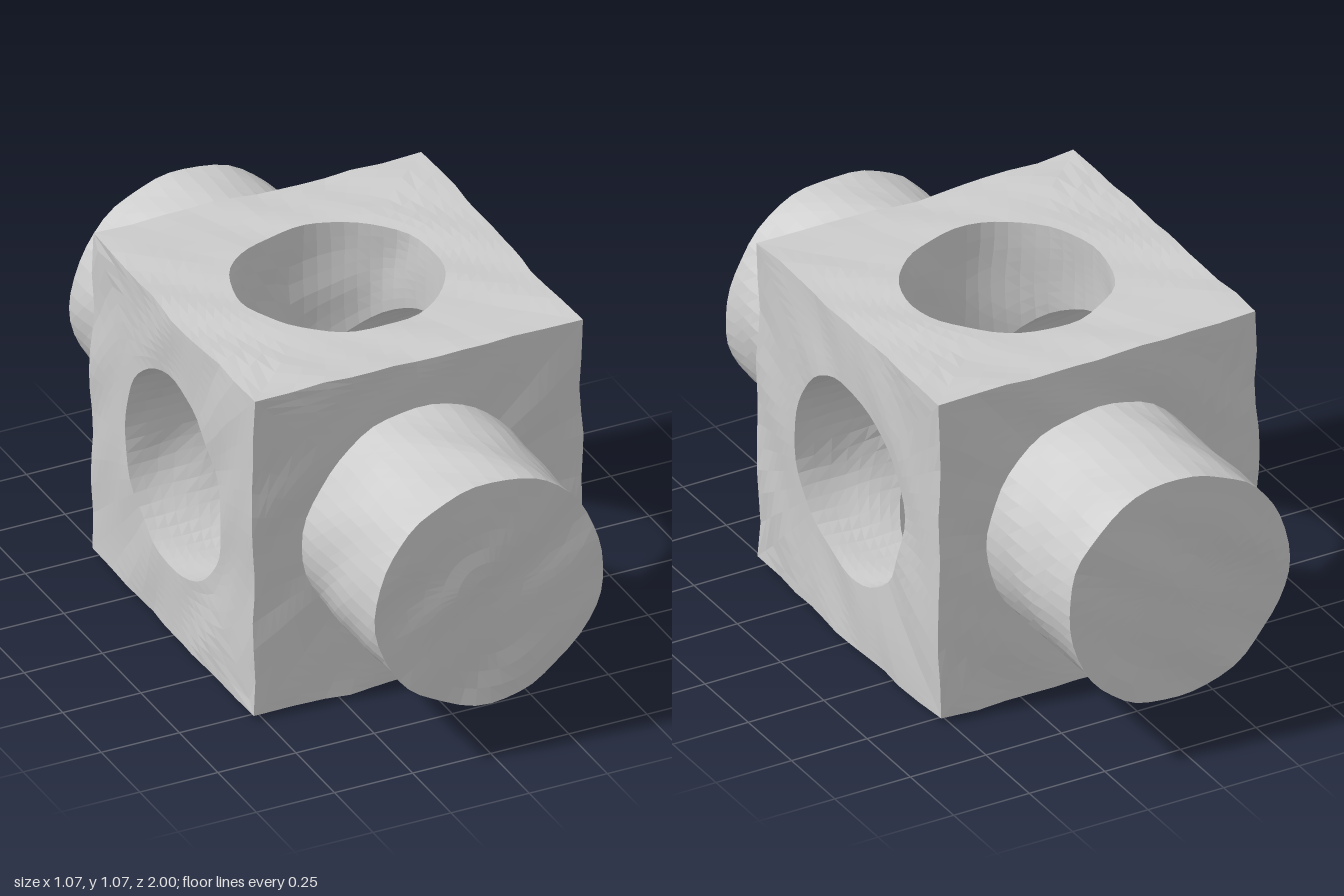
import * as THREE from 'three';
import { ParametricGeometry } from 'three/addons/geometries/ParametricGeometry.js';

const HALF = 0.525;   // half the cube edge
const MID = 0.535;    // height of the centre
const BORE = 0.31;    // radius of the crossing holes
const POST = 0.365;   // radius of the round posts
const END = 0.99;     // distance of post ends from the centre
const SEG = 48;

const { lerp } = THREE.MathUtils;
const material = new THREE.MeshStandardMaterial({ color: 0xcccccc, flatShading: true });

// Smooth, repeatable lumps; they depend on position only, so seams stay closed
function lump(a, b, c) {
  return 0.004 * Math.sin(11 * a + 7 * b + 5 * c)
    + 0.003 * Math.sin(17 * b - 13 * c + 9 * a + 1.3)
    + 0.002 * Math.sin(29 * c + 23 * a - 19 * b + 2.1);
}

function roughen(geometry) {
  const p = geometry.attributes.position;
  for (let i = 0; i < p.count; i++) {
    const x = p.getX(i), y = p.getY(i), z = p.getZ(i);
    p.setXYZ(i, x + lump(x, y, z), y + lump(y, z + 2, x), z + lump(z, x + 4, y));
  }
  geometry.computeVertexNormals();
  return geometry;
}

// Surface swept round an axis: at(angle, v) gives [radius, distance along the axis]
function sweep(name, basis, rows, at) {
  const geometry = new ParametricGeometry((u, v, target) => {
    const angle = u * Math.PI * 2;
    const [r, h] = at(angle, v);
    target.set(r * Math.cos(angle), r * Math.sin(angle), h);
  }, SEG, rows);
  geometry.applyMatrix4(basis);
  const mesh = new THREE.Mesh(roughen(geometry), material);
  mesh.name = name;
  return mesh;
}

// Distance from the middle of a square face to its edge
const squareRadius = (a) => HALF / Math.max(Math.abs(Math.cos(a)), Math.abs(Math.sin(a)));

export function createModel() {
  const model = new THREE.Group();
  model.name = 'boredBlock';
  model.position.y = MID;

  const sides = [
    ['left', [1, 0, 0], [0, 1, 0]], ['right', [-1, 0, 0], [0, 1, 0]],
    ['top', [0, 1, 0], [1, 0, 0]], ['bottom', [0, -1, 0], [1, 0, 0]],
    ['front', [0, 0, 1], [1, 0, 0]], ['back', [0, 0, -1], [1, 0, 0]],
  ];

  for (const [side, out, across] of sides) {
    const axis = new THREE.Vector3(...out);
    const x = new THREE.Vector3(...across);
    const basis = new THREE.Matrix4().makeBasis(x, axis.clone().cross(x), axis);
    const hasPost = out[2] !== 0;
    const inner = hasPost ? POST : BORE;

    // Cube face with a round opening
    model.add(sweep(side + 'Face', basis, 8, (a, v) => [lerp(squareRadius(a), inner, v), HALF]));

    if (hasPost) {
      // Solid post: wall and end cap
      model.add(sweep(side + 'PostWall', basis, 9, (a, v) => [POST, lerp(HALF, END, v)]));
      model.add(sweep(side + 'PostEnd', basis, 7, (a, v) => [POST * (1 - v), END]));
    } else {
      // Bore wall, ending where it meets the crossing bore
      model.add(sweep(side + 'Bore', basis, 8,
        (a, v) => [BORE, lerp(HALF, BORE * Math.abs(Math.cos(a)), v)]));
    }
  }

  const root = new THREE.Group();
  root.name = 'crossBoredBlock';
  root.add(model);
  return root;
}
